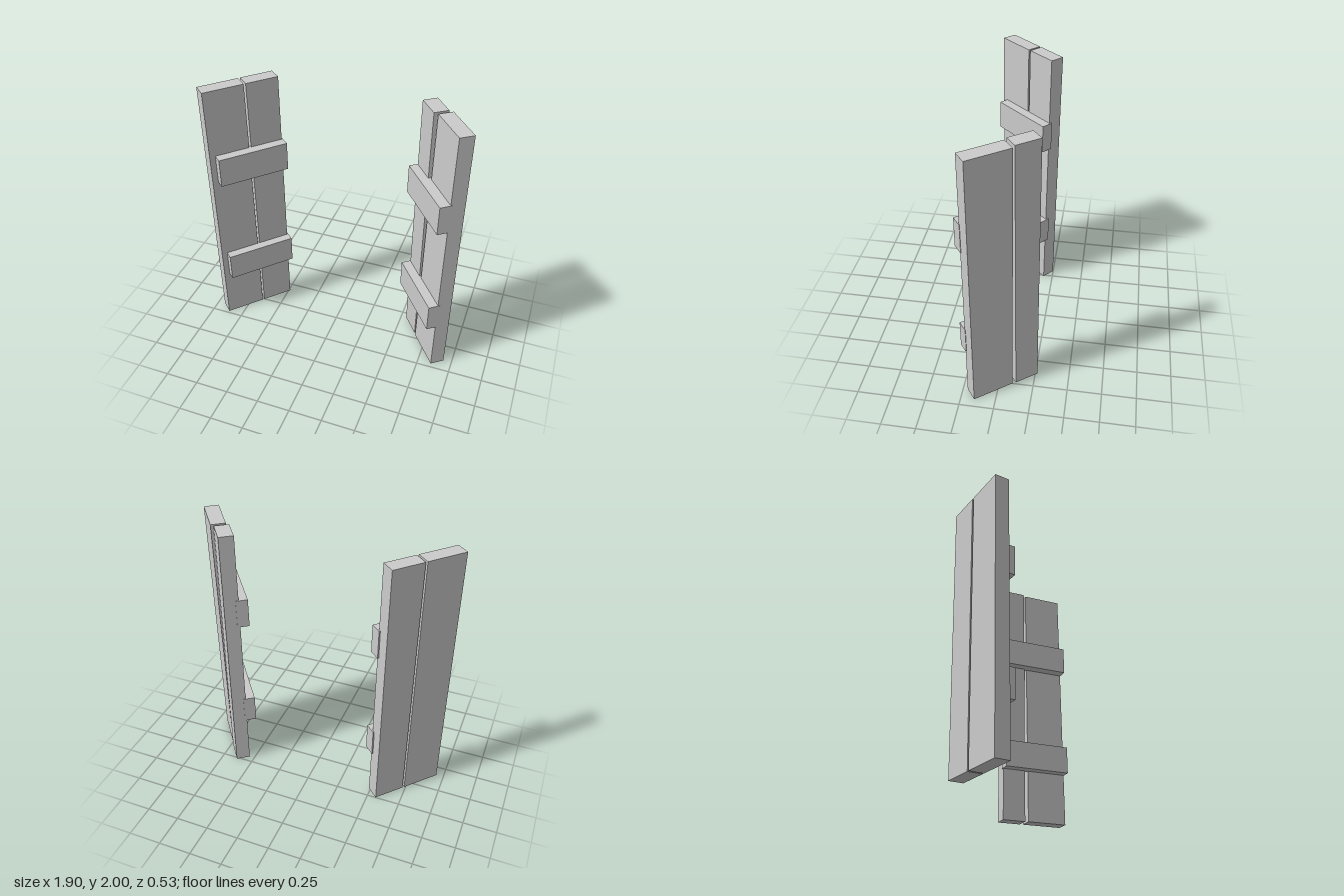
import * as THREE from 'three';

const material = new THREE.MeshStandardMaterial({ color: 0xcccccc, flatShading: true });
const THICK = 0.107;

// Box spanning x0..x1, y0..y1, z0..z1 in a shutter's own frame, leaning by a small angle
function board(name, [x0, x1], [y0, y1], [z0, z1], lean = 0) {
  const mesh = new THREE.Mesh(new THREE.BoxGeometry(x1 - x0, y1 - y0, z1 - z0), material);
  mesh.position.set((x0 + x1) / 2, (y0 + y1) / 2, (z0 + z1) / 2);
  mesh.rotation.x = lean;
  mesh.name = name;
  return mesh;
}

// Shutter frame: x runs along the width, z = 0 is the front face of the planks
function shutter({ name, x, z, turn, planks, batten }) {
  const group = new THREE.Group();
  group.name = name;
  group.position.set(x, 0, z);
  group.rotation.y = turn;
  for (const p of planks) {
    group.add(board(p.name, p.span, [0, 2], [p.front - THICK, p.front], p.lean));
  }
  group.add(board('upperBatten', batten, [1.28, 1.5], [-0.02, 0.068]));
  group.add(board('lowerBatten', batten, [0.4, 0.613], [-0.02, 0.068]));
  return group;
}

export function createModel() {
  const model = new THREE.Group();
  model.name = 'windowShutters';

  model.add(shutter({
    name: 'rightShutter', x: -0.87, z: 0.228, turn: 0.826,
    planks: [
      { name: 'outerPlank', span: [0, 0.3], front: 0, lean: -0.007 },
      { name: 'innerPlank', span: [0.315, 0.556], front: 0, lean: -0.008 },
    ],
    batten: [0.042, 0.566],
  }));

  model.add(shutter({
    name: 'leftShutter', x: 0.537, z: -0.197, turn: -0.921,
    planks: [
      { name: 'innerPlank', span: [0, 0.182], front: 0, lean: 0.006 },
      { name: 'outerPlank', span: [0.206, 0.52], front: -0.007, lean: -0.006 },
    ],
    batten: [-0.005, 0.523],
  }));

  return model;
}
